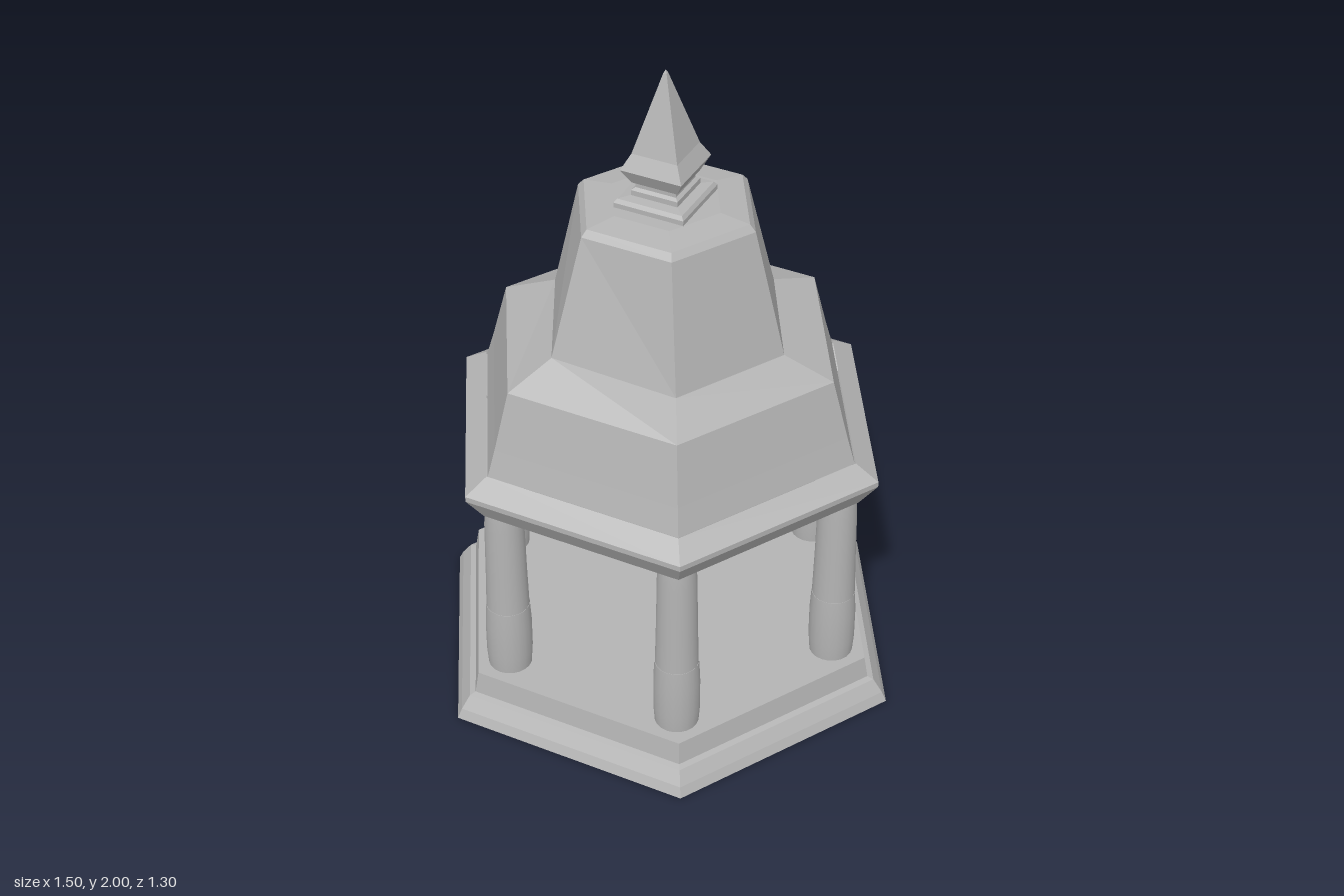
import * as THREE from 'three';

const stone = new THREE.MeshStandardMaterial({ color: 0xb3b3b3, side: THREE.DoubleSide, flatShading: true });
stone.name = 'stone';

// Corners of one level: regular polygon of radius r at height y
function ring(r, y, sides = 6, turn = 0) {
  return Array.from({ length: sides }, (_, i) => {
    const a = turn + (i / sides) * Math.PI * 2;
    return [r * Math.cos(a), y, r * Math.sin(a)];
  });
}

// Faceted skin through a stack of rings, given from outside bottom upwards
function skin(name, rings) {
  const pos = [];
  for (let k = 0; k < rings.length - 1; k++) {
    const lo = rings[k], up = rings[k + 1], n = lo.length;
    for (let i = 0; i < n; i++) {
      const j = (i + 1) % n;
      pos.push(...lo[i], ...up[i], ...up[j], ...lo[i], ...up[j], ...lo[j]);
    }
  }
  const geo = new THREE.BufferGeometry();
  geo.setAttribute('position', new THREE.Float32BufferAttribute(pos, 3));
  geo.computeVertexNormals();
  const mesh = new THREE.Mesh(geo, stone);
  mesh.name = name;
  return mesh;
}

const hexSkin = (name, profile) => skin(name, profile.map(([r, y]) => ring(r, y)));
const squareSkin = (name, profile) =>
  skin(name, profile.map(([h, y]) => ring(h * Math.SQRT2, y, 4, Math.PI / 4)));

const smoothStone = new THREE.MeshStandardMaterial({ color: 0xb3b3b3 });
smoothStone.name = 'smooth stone';

function column(x, z) {
  const g = new THREE.Group();
  g.name = 'column';
  const parts = {
    columnFoot: [[0.065, 0.145], [0.069, 0.2], [0.069, 0.3], [0.065, 0.372]],
    columnShaft: [[0.064, 0.372], [0.061, 0.5], [0.058, 0.68], [0.054, 0.74]],
  };
  for (const [name, pts] of Object.entries(parts)) {
    const geo = new THREE.LatheGeometry(pts.map(([r, y]) => new THREE.Vector2(r, y)), 20);
    const m = new THREE.Mesh(geo, smoothStone);
    m.name = name;
    g.add(m);
  }
  g.position.set(x, 0, z);
  return g;
}

export function createModel() {
  const model = new THREE.Group();
  model.name = 'pavilion';

  // Stepped base, open underneath
  model.add(hexSkin('base', [[0.75, 0], [0.735, 0.03], [0.705, 0.07], [0.685, 0.075], [0.672, 0.145], [0, 0.147]]));

  // Six columns under the roof corners
  for (const [x, , z] of ring(0.56, 0)) model.add(column(x, z));

  // Eave and lower roof tier
  model.add(hexSkin('eave', [[0.49, 0.73], [0.625, 0.73], [0.682, 0.808], [0.682, 0.825], [0.61, 0.868]]));

  // Slightly uneven crease where the two roof tiers meet
  const crease = [
    [0.375, 1.175, 0], [0.195, 1.178, 0.325], [-0.185, 1.205, 0.345],
    [-0.362, 1.208, 0], [-0.188, 1.195, -0.34], [0.19, 1.178, -0.33],
  ];
  model.add(skin('lowerRoof', [ring(0.606, 0.866), ring(0.58, 0.95), ring(0.53, 1.13), crease]));
  model.add(skin('upperRoof', [crease, ring(0.278, 1.56), ring(0.26, 1.58), ring(0.17, 1.592), ring(0, 1.594)]));

  // Hollow inside of the roof
  model.add(hexSkin('roofLining', [[0, 1.54], [0.24, 1.52], [0.33, 1.17], [0.46, 1.08], [0.49, 0.73]]));

  // Square finial: plinth, neck and spire
  model.add(squareSkin('finialPlinth', [[0.108, 1.59], [0.108, 1.607], [0.1, 1.618], [0.072, 1.622]]));
  model.add(squareSkin('finialNeck', [[0.072, 1.62], [0.072, 1.638], [0.062, 1.645], [0.062, 1.66]]));
  model.add(squareSkin('spire', [[0.06, 1.66], [0.07, 1.662], [0.094, 1.708], [0.07, 1.755], [0.005, 1.99], [0, 2]]));

  return model;
}
